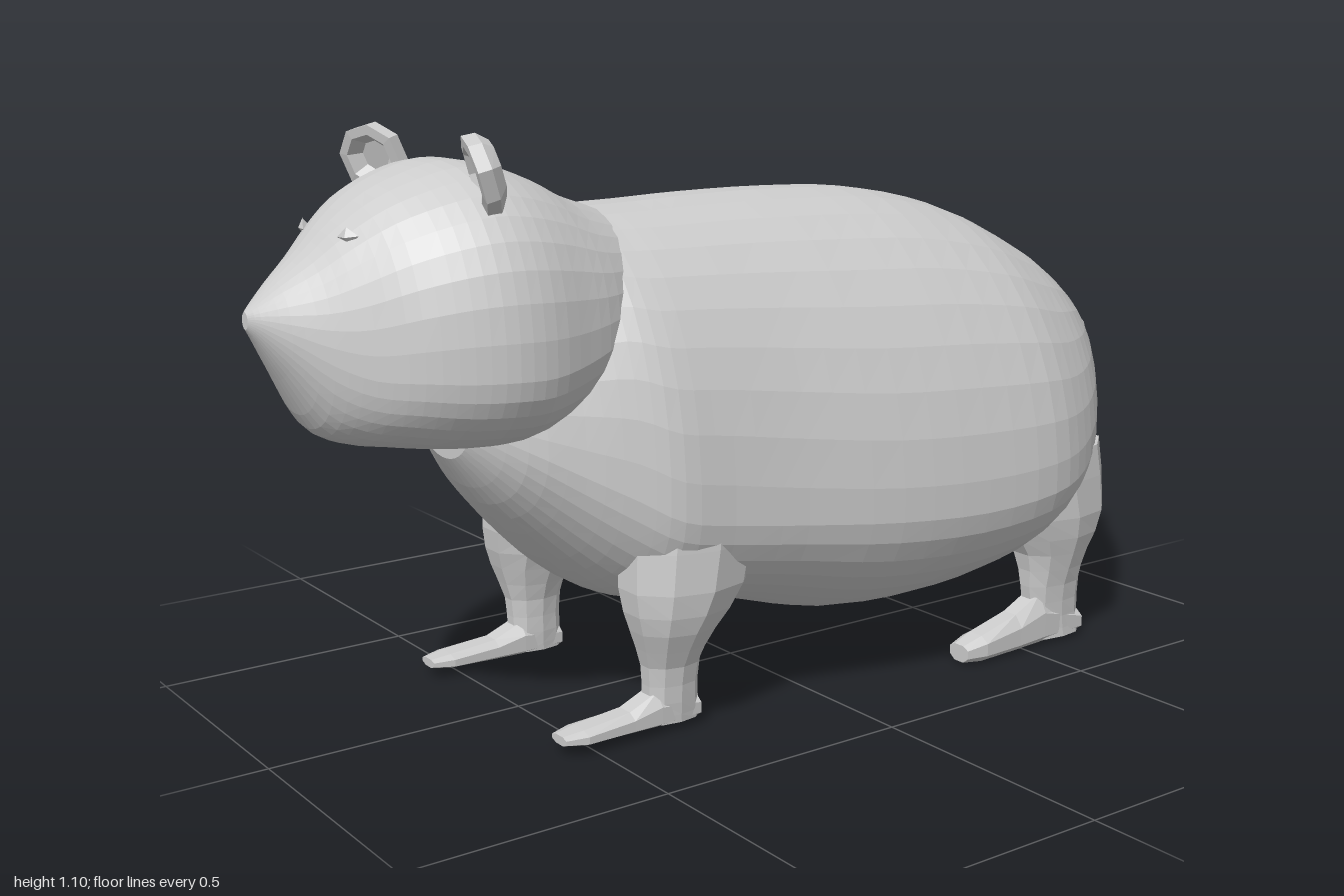
import * as THREE from 'three';

const fur = new THREE.MeshStandardMaterial({ color: 0xcccccc, flatShading: true });
fur.name = 'grey fur';

// Smoothly adds steps between the given cross-sections
function refine(rows, steps) {
  const out = [];
  for (let i = 0; i < rows.length - 1; i++) {
    const a = rows[Math.max(i - 1, 0)], b = rows[i], c = rows[i + 1];
    const d = rows[Math.min(i + 2, rows.length - 1)];
    for (let s = 0; s < steps; s++) {
      const t = s / steps;
      out.push(b.map((p, k) => 0.5 * (2 * p + (c[k] - a[k]) * t
        + (2 * a[k] - 5 * p + 4 * c[k] - d[k]) * t * t
        + (3 * p - a[k] - 3 * c[k] + d[k]) * t * t * t)));
    }
  }
  out.push(rows[rows.length - 1]);
  return out;
}

// Skin over rounded sections: [along, offset, high, low, widest, halfWidth, squareness]
// Runs along z, or along y when upright; side = -1 mirrors it in x
function loft(name, rows, { sides = 32, steps = 3, upright = false, side = 1 } = {}) {
  const rings = refine(rows, steps), pos = [], idx = [];
  const put = (u, v, t) => (upright ? pos.push(side * v, t, u) : pos.push(side * u, v, t));
  const tri = (a, b, c) => (side > 0 ? idx.push(a, b, c) : idx.push(a, c, b));
  const power = (v, n) => Math.sign(v) * Math.abs(v) ** (2 / n);
  for (const [t, u, high, low, mid, w, n] of rings) {
    for (let j = 0; j < sides; j++) {
      const a = ((j + 0.5) / sides) * Math.PI * 2, s = power(Math.sin(a), n);
      put(u + w * power(Math.cos(a), n), mid + s * (s > 0 ? high - mid : mid - low), t);
    }
  }
  const last = (rings.length - 1) * sides;
  for (let i = 0; i < last; i += sides) {
    for (let j = 0; j < sides; j++) {
      const k = (j + 1) % sides;
      tri(i + j, i + k, i + sides + j);
      tri(i + k, i + sides + k, i + sides + j);
    }
  }
  // End caps
  const start = pos.length / 3;
  for (const r of [rings[0], rings[rings.length - 1]]) put(r[1], (r[2] + r[3]) / 2, r[0]);
  for (let j = 0; j < sides; j++) {
    const k = (j + 1) % sides;
    tri(start, k, j);
    tri(start + 1, last + j, last + k);
  }
  const g = new THREE.BufferGeometry();
  g.setAttribute('position', new THREE.Float32BufferAttribute(pos, 3));
  g.setIndex(idx);
  g.computeVertexNormals();
  const mesh = new THREE.Mesh(g, fur);
  mesh.name = name;
  return mesh;
}

export function createModel() {
  const model = new THREE.Group();
  model.name = 'hamster';

  // Body from tail tip to chest
  model.add(loft('body', [
    [-1.0, 0, 0.6, 0.575, 0.588, 0.012, 2],
    [-0.95, 0, 0.63, 0.56, 0.59, 0.04, 2],
    [-0.9, 0, 0.665, 0.52, 0.58, 0.1, 2],
    [-0.8, 0, 0.74, 0.33, 0.52, 0.23, 2],
    [-0.7, 0, 0.805, 0.24, 0.45, 0.335, 2],
    [-0.6, 0, 0.855, 0.19, 0.4, 0.4, 2],
    [-0.48, 0, 0.905, 0.135, 0.38, 0.438, 2],
    [-0.3, 0, 0.945, 0.103, 0.37, 0.435, 2],
    [-0.1, 0, 0.957, 0.108, 0.38, 0.415, 2],
    [0.1, 0, 0.957, 0.165, 0.4, 0.38, 2.1],
    [0.25, 0, 0.952, 0.2, 0.42, 0.358, 2.2],
    [0.35, 0, 0.95, 0.215, 0.44, 0.345, 2.2],
    [0.42, 0, 0.945, 0.255, 0.48, 0.31, 2.2],
    [0.5, 0, 0.89, 0.33, 0.52, 0.26, 2.1],
    [0.58, 0, 0.8, 0.42, 0.56, 0.2, 2],
    [0.64, 0, 0.68, 0.51, 0.59, 0.1, 2],
  ], { sides: 40 }));

  // Head from neck to nose tip
  model.add(loft('head', [
    [0.3, 0, 0.935, 0.66, 0.78, 0.18, 2.1],
    [0.42, 0, 0.975, 0.59, 0.75, 0.25, 2.2],
    [0.5, 0, 1.015, 0.56, 0.73, 0.28, 2.3],
    [0.58, 0, 1.04, 0.545, 0.72, 0.303, 2.4],
    [0.65, 0, 1.047, 0.545, 0.72, 0.302, 2.4],
    [0.72, 0, 1.03, 0.55, 0.72, 0.277, 2.4],
    [0.79, 0, 1.0, 0.56, 0.72, 0.235, 2.3],
    [0.85, 0, 0.955, 0.57, 0.72, 0.18, 2.2],
    [0.9, 0, 0.905, 0.6, 0.74, 0.13, 2.1],
    [0.95, 0, 0.86, 0.69, 0.77, 0.078, 2],
    [0.985, 0, 0.825, 0.755, 0.79, 0.035, 2],
    [1.0, 0, 0.81, 0.78, 0.795, 0.012, 2],
  ], { sides: 36 }));

  // Nostril wedge under the nose tip
  const nose = new THREE.Mesh(new THREE.ConeGeometry(0.018, 0.025, 3), fur);
  nose.name = 'nose';
  nose.position.set(0, 0.768, 0.977);
  nose.rotation.x = Math.PI;
  model.add(nose);

  for (const side of [1, -1]) {
    const label = side > 0 ? 'left' : 'right';

    // Eye: a small diamond tipped downward
    const eye = new THREE.Mesh(new THREE.OctahedronGeometry(0.02, 0), fur);
    eye.name = label + 'Eye';
    eye.scale.set(1.1, 0.8, 0.5);
    eye.rotation.set(0.15, side * 0.5, 0);
    eye.position.set(side * 0.087, 0.933, 0.85);
    model.add(eye);

    // Cupped ear, its outer edge turned forward
    const ear = loft(label + 'Ear', [
      [-0.03, 0, 0.045, -0.05, 0, 0.05, 2],
      [-0.012, 0, 0.062, -0.08, 0, 0.072, 2],
      [0.012, 0, 0.064, -0.08, 0, 0.074, 2],
      [0.014, 0, 0.046, -0.05, 0, 0.054, 2],
      [-0.006, 0, 0.028, -0.03, 0, 0.032, 2],
    ], { sides: 8, steps: 1, side });
    ear.position.set(side * 0.198, 1.038, 0.66);
    ear.rotation.set(0.3, -side * 0.35, -side * 0.15);
    model.add(ear);

    // Front leg and foot
    model.add(loft(label + 'FrontLeg', [
      [0.02, 0.318, 0.28, 0.21, 0.245, 0.056, 2.4],
      [0.06, 0.32, 0.284, 0.207, 0.245, 0.056, 2.2],
      [0.13, 0.32, 0.292, 0.203, 0.247, 0.06, 2],
      [0.2, 0.315, 0.325, 0.18, 0.255, 0.088, 2],
      [0.28, 0.29, 0.347, 0.15, 0.25, 0.13, 2],
      [0.42, 0.27, 0.345, 0.14, 0.24, 0.14, 2],
    ], { sides: 10, steps: 2, upright: true, side }));
    model.add(loft(label + 'FrontFoot', [
      [0.27, 0.245, 0.06, 0.015, 0.035, 0.032, 2.4],
      [0.36, 0.245, 0.085, 0.014, 0.035, 0.038, 2.4],
      [0.42, 0.246, 0.058, 0.015, 0.035, 0.038, 2.4],
      [0.52, 0.248, 0.048, 0.018, 0.034, 0.04, 2.4],
      [0.56, 0.248, 0.042, 0.024, 0.034, 0.026, 2.4],
    ], { sides: 8, steps: 1, side }));

    // Hind leg and foot
    model.add(loft(label + 'HindLeg', [
      [0.015, -0.605, 0.352, 0.28, 0.315, 0.068, 2.4],
      [0.06, -0.6, 0.35, 0.28, 0.315, 0.07, 2.2],
      [0.13, -0.597, 0.356, 0.27, 0.315, 0.076, 2],
      [0.2, -0.602, 0.374, 0.235, 0.31, 0.09, 2],
      [0.28, -0.6, 0.39, 0.19, 0.3, 0.14, 2],
      [0.42, -0.57, 0.385, 0.18, 0.28, 0.17, 2],
    ], { sides: 10, steps: 2, upright: true, side }));
    model.add(loft(label + 'HindFoot', [
      [-0.665, 0.316, 0.06, 0.012, 0.035, 0.032, 2.4],
      [-0.55, 0.316, 0.12, 0.006, 0.04, 0.038, 2.4],
      [-0.48, 0.318, 0.085, 0.004, 0.035, 0.038, 2.4],
      [-0.38, 0.322, 0.06, 0.003, 0.035, 0.039, 2.4],
      [-0.335, 0.322, 0.045, 0.008, 0.03, 0.028, 2.4],
    ], { sides: 8, steps: 1, side }));
  }
  return model;
}
